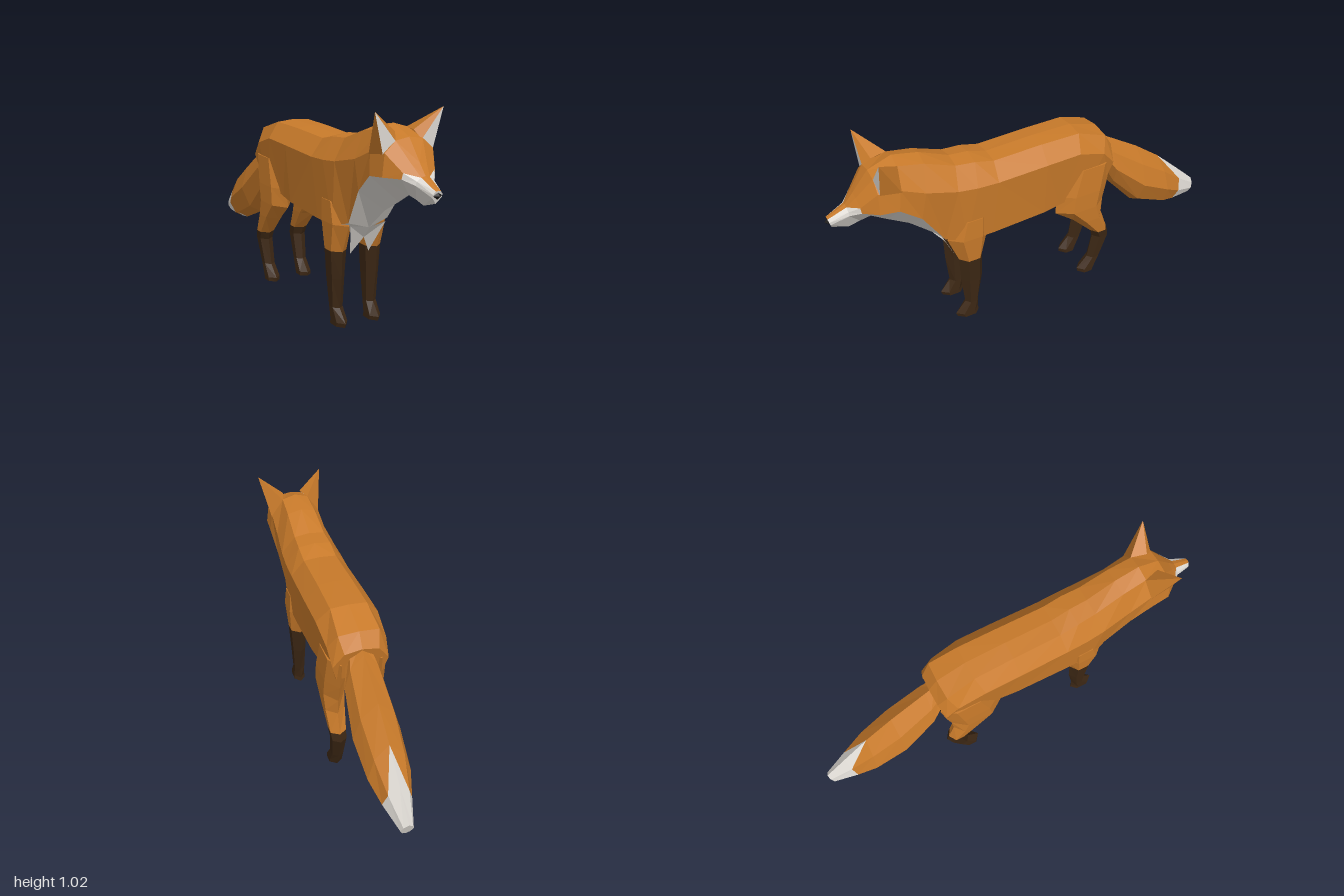
import * as THREE from 'three';

const COLORS = { orange: 0xc87a2a, white: 0xdedad4, dark: 0x3c2714, black: 0x1c1a1a };

// Collects triangles by colour, each with its mirror image across x = 0.
function makePart(name, fill) {
  const buckets = {};
  const tri = (color, a, b, c) => {
    const list = (buckets[color] ??= []);
    list.push(...a, ...b, ...c);
    for (const p of [a, c, b]) list.push(-p[0], p[1], p[2]);
  };
  fill(tri);
  const group = new THREE.Group();
  group.name = name;
  for (const [color, positions] of Object.entries(buckets)) {
    const geometry = new THREE.BufferGeometry();
    geometry.setAttribute('position', new THREE.Float32BufferAttribute(positions, 3));
    geometry.computeVertexNormals();
    const material = new THREE.MeshStandardMaterial({
      color: COLORS[color], flatShading: true, side: THREE.DoubleSide,
    });
    const mesh = new THREE.Mesh(geometry, material);
    mesh.name = `${name}_${color}`;
    group.add(mesh);
  }
  return group;
}

// Skins a row of rings; colorOf(ring, strip, half of quad) picks each face's colour.
function loft(tri, rings, colorOf, startCap, endCap) {
  for (let i = 0; i < rings.length - 1; i++) {
    for (let j = 0; j < rings[i].length - 1; j++) {
      const a = rings[i][j], b = rings[i][j + 1];
      const c = rings[i + 1][j + 1], d = rings[i + 1][j];
      tri(colorOf(i, j, 0), a, b, c);
      tri(colorOf(i, j, 1), a, c, d);
    }
  }
  const first = rings[0], last = rings[rings.length - 1];
  for (let k = 1; k < first.length - 1; k++) {
    if (startCap) tri(startCap, first[0], first[k + 1], first[k]);
    if (endCap) tri(endCap, last[0], last[k], last[k + 1]);
  }
}

// Half section of the trunk: spine, upper edge, flank, lower edge, belly line.
function trunkRing([zt, zb, yt, w1, y1, w2, y2, w3, y3, yb]) {
  const z = (y) => zt + (zb - zt) * (yt - y) / (yt - yb);
  return [[0, yt], [w1, y1], [w2, y2], [w3, y3], [0, yb]].map(([x, y]) => [x, y, z(y)]);
}

// Half section of the tail between a top and a bottom point.
function tailRing([zt, yt, zb, yb, w]) {
  return [[0, 0], [0.7, 0.22], [1, 0.55], [0.6, 0.88], [0, 1]]
    .map(([x, t]) => [x * w, yt + (yb - yt) * t, zt + (zb - zt) * t]);
}

// Six-sided leg section: height, front z, back z, inner x, outer x.
function legRing([y, zf, zb, xi, xo]) {
  const f = zf + (zb - zf) * 0.28, b = zf + (zb - zf) * 0.75, m = (xi + xo) / 2;
  const ring = [[xo, y, b], [xo, y, f], [m, y, zf], [xi, y, f], [xi, y, b], [m, y, zb]];
  return [...ring, ring[0]];
}

const NECK = [0.68, 0.73, 0.955, 0.065, 0.935, 0.122, 0.85, 0.132, 0.755, 0.635];

const HEAD = [
  [0.99, 0.975, 0.74, 0.012, 0.737, 0.022, 0.725, 0.023, 0.712, 0.685],
  [0.905, 0.90, 0.78, 0.02, 0.775, 0.04, 0.762, 0.045, 0.745, 0.66],
  [0.865, 0.85, 0.825, 0.035, 0.818, 0.075, 0.79, 0.08, 0.765, 0.672],
  [0.79, 0.80, 0.915, 0.065, 0.905, 0.116, 0.86, 0.128, 0.765, 0.68],
  NECK,
];

const BODY = [
  NECK,
  [0.56, 0.63, 0.93, 0.07, 0.912, 0.125, 0.80, 0.12, 0.67, 0.575],
  [0.42, 0.51, 0.87, 0.075, 0.858, 0.138, 0.765, 0.10, 0.50, 0.47],
  [0.33, 0.42, 0.862, 0.08, 0.85, 0.143, 0.755, 0.125, 0.47, 0.41],
  [0.24, 0.28, 0.835, 0.08, 0.828, 0.143, 0.75, 0.125, 0.47, 0.43],
  [0, 0, 0.845, 0.082, 0.837, 0.146, 0.76, 0.12, 0.48, 0.435],
  [-0.2, -0.07, 0.845, 0.085, 0.838, 0.146, 0.765, 0.115, 0.49, 0.445],
  [-0.345, -0.22, 0.80, 0.095, 0.79, 0.138, 0.72, 0.12, 0.52, 0.50],
  [-0.39, -0.355, 0.735, 0.08, 0.72, 0.13, 0.65, 0.11, 0.57, 0.56],
];

const TAIL = [
  [-0.36, 0.745, -0.365, 0.58, 0.07],
  [-0.41, 0.715, -0.44, 0.44, 0.092],
  [-0.6, 0.60, -0.59, 0.275, 0.11],
  [-0.745, 0.495, -0.77, 0.20, 0.098],
  [-0.88, 0.375, -0.84, 0.19, 0.068],
  [-0.995, 0.27, -0.965, 0.19, 0.03],
];

const FRONT_LEG = [
  [0.58, 0.45, 0.29, 0.04, 0.135],
  [0.48, 0.49, 0.285, 0.04, 0.138],
  [0.35, 0.44, 0.32, 0.05, 0.13],
  [0.22, 0.435, 0.325, 0.058, 0.122],
  [0.08, 0.42, 0.352, 0.063, 0.115],
  [0.02, 0.472, 0.355, 0.06, 0.116],
  [0, 0.465, 0.35, 0.06, 0.116],
];

const HIND_LEG = [
  [0.66, -0.13, -0.385, 0.05, 0.138],
  [0.52, -0.08, -0.365, 0.045, 0.145],
  [0.43, -0.075, -0.345, 0.045, 0.146],
  [0.35, -0.18, -0.34, 0.05, 0.143],
  [0.25, -0.28, -0.375, 0.06, 0.135],
  [0.21, -0.295, -0.388, 0.062, 0.13],
  [0.08, -0.272, -0.342, 0.065, 0.12],
  [0.02, -0.215, -0.32, 0.06, 0.123],
  [0, -0.218, -0.31, 0.06, 0.123],
];

export function createModel() {
  const fox = new THREE.Group();
  fox.name = 'fox';

  // Head with pale muzzle sides and jaw
  fox.add(makePart('head', (tri) => loft(tri, HEAD.map(trunkRing),
    (i, j, k) => (j === 3 || (j === 2 && i < 2) || (j === 1 && (i === 0 || (i === 1 && k === 0))) ? 'white' : 'orange'),
    'white')));

  // Trunk with pale throat and belly
  fox.add(makePart('body', (tri) => loft(tri, BODY.map(trunkRing),
    (i, j) => (j === 3 ? 'white' : 'orange'), null, 'orange')));

  // Tail with a pale tip that runs up to a point on top and below
  fox.add(makePart('tail', (tri) => loft(tri, TAIL.map(tailRing),
    (i, j, k) => (i === 4 || (i === 3 && ((j === 0 && k === 1) || (j === 3 && k === 0))) ? 'white' : 'orange'),
    'orange', 'white')));

  // Legs, dark from the knee or hock down
  fox.add(makePart('frontLegs', (tri) => loft(tri, FRONT_LEG.map(legRing),
    (i) => (i > 1 ? 'dark' : 'orange'), 'orange', 'dark')));
  fox.add(makePart('hindLegs', (tri) => loft(tri, HIND_LEG.map(legRing),
    (i, j) => (i > 3 ? 'dark' : j === 3 && i < 2 ? 'white' : 'orange'), 'orange', 'dark')));

  // Ears: pale front, orange back
  fox.add(makePart('ears', (tri) => {
    const tip = [0.163, 1.025, 0.79], inner = [0.062, 0.9, 0.79], outer = [0.12, 0.855, 0.785];
    const top = [0.045, 0.935, 0.755], back = [0.065, 0.935, 0.68], side = [0.124, 0.84, 0.69];
    tri('white', tip, inner, outer);
    tri('orange', tip, top, inner);
    tri('orange', tip, back, top);
    tri('orange', tip, side, back);
    tri('orange', tip, outer, side);
  }));

  // Pale chest points reaching down between the front legs
  fox.add(makePart('chestBib', (tri) => {
    const edge = [0.09, 0.485, 0.505], mid = [0, 0.475, 0.52];
    const notch = [0, 0.415, 0.47], point = [0.048, 0.335, 0.435];
    tri('white', mid, notch, edge);
    tri('white', notch, point, edge);
  }));

  // Nose
  const nose = new THREE.Mesh(new THREE.OctahedronGeometry(1),
    new THREE.MeshStandardMaterial({ color: COLORS.black, flatShading: true }));
  nose.name = 'nose';
  nose.scale.set(0.021, 0.016, 0.016);
  nose.position.set(0, 0.719, 0.985);
  fox.add(nose);

  // The animal stands slightly turned
  fox.rotation.y = -0.095;
  fox.position.x = 0.033;
  const model = new THREE.Group();
  model.name = 'model';
  model.add(fox);
  return model;
}
